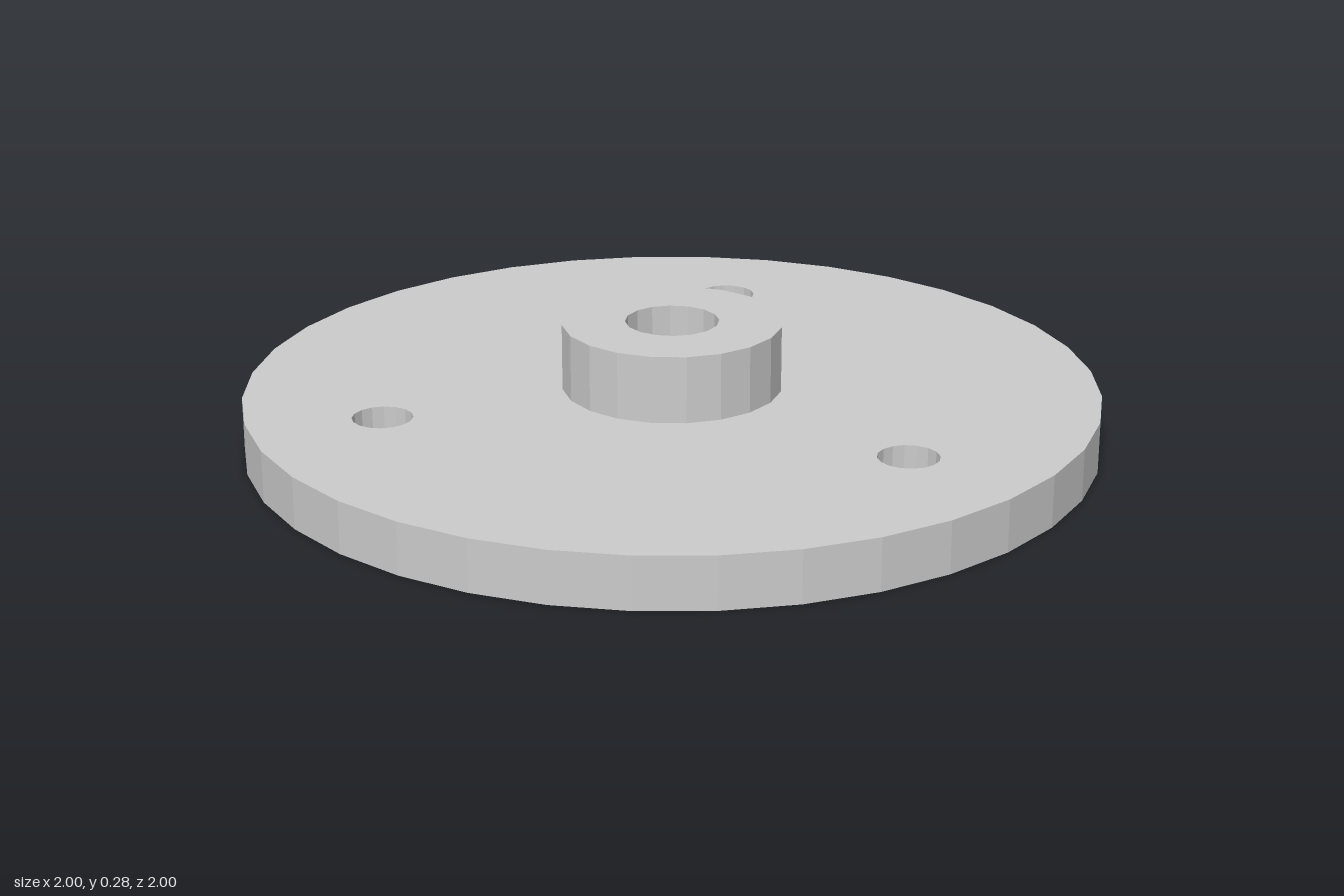
import * as THREE from 'three';

const PLATE_TOP = 0.122, HUB_TOP = 0.28, POCKET_TOP = 0.16;
const rad = THREE.MathUtils.degToRad;

// Polygon outline in plan: x to the right, second axis towards the back (-z)
function ring(radius, sides, cx = 0, cy = 0, phase = 0) {
  return Array.from({ length: sides }, (_, i) => {
    const a = phase + (i / sides) * Math.PI * 2;
    return new THREE.Vector2(cx + radius * Math.cos(a), cy + radius * Math.sin(a));
  });
}

// Flat horizontal face with holes, facing up or down
function face(outline, holes, y, up) {
  const shape = new THREE.Shape(outline);
  shape.holes = holes.map((h) => new THREE.Path(h));
  const geo = new THREE.ShapeGeometry(shape);
  geo.rotateX(-Math.PI / 2).translate(0, y, 0);
  if (!up) geo.index.array.reverse();
  geo.computeVertexNormals();
  return geo;
}

// Upright faceted wall along an outline, facing outwards or into a hole
function wall(outline, y0, y1, outward) {
  const pos = [];
  outline.forEach((p, i) => {
    const q = outline[(i + 1) % outline.length];
    const [a, b] = outward ? [p, q] : [q, p];
    pos.push(a.x, y0, -a.y, b.x, y0, -b.y, b.x, y1, -b.y);
    pos.push(a.x, y0, -a.y, b.x, y1, -b.y, a.x, y1, -a.y);
  });
  const geo = new THREE.BufferGeometry();
  geo.setAttribute('position', new THREE.Float32BufferAttribute(pos, 3));
  geo.computeVertexNormals();
  return geo;
}

export function createModel() {
  const material = new THREE.MeshStandardMaterial({ color: 0xcccccc, flatShading: true });
  const model = new THREE.Group();
  model.name = 'hubbedDisc';

  const part = (name, geometries) => {
    const group = new THREE.Group();
    group.name = name;
    geometries.forEach((g, i) => {
      const mesh = new THREE.Mesh(g, material);
      mesh.name = `${name}Surface${i + 1}`;
      group.add(mesh);
    });
    model.add(group);
  };

  const rim = ring(1, 36);
  const hub = ring(0.258, 20);
  const bore = ring(0.11, 16);
  const hex = ring(0.2, 6, 0, 0, rad(-37));
  const boltHoles = [67, 187, 307].map((deg) =>
    ring(0.07, 16, 0.693 * Math.cos(rad(deg)), -0.693 * Math.sin(rad(deg))));

  // Round plate
  part('plate', [
    wall(rim, 0, PLATE_TOP, true),
    face(rim, [hub, ...boltHoles], PLATE_TOP, true),
    face(rim, [hex, ...boltHoles], 0, false),
  ]);

  // Three bolt holes through the plate
  part('boltHoles', boltHoles.map((h) => wall(h, 0, PLATE_TOP, false)));

  // Raised hub and its bore
  part('hub', [
    wall(hub, PLATE_TOP, HUB_TOP, true),
    face(hub, [bore], HUB_TOP, true),
  ]);
  part('bore', [wall(bore, POCKET_TOP, HUB_TOP, false)]);

  // Hexagonal nut pocket in the underside
  part('nutPocket', [
    wall(hex, 0, POCKET_TOP, false),
    face(hex, [bore], POCKET_TOP, false),
  ]);

  return model;
}
